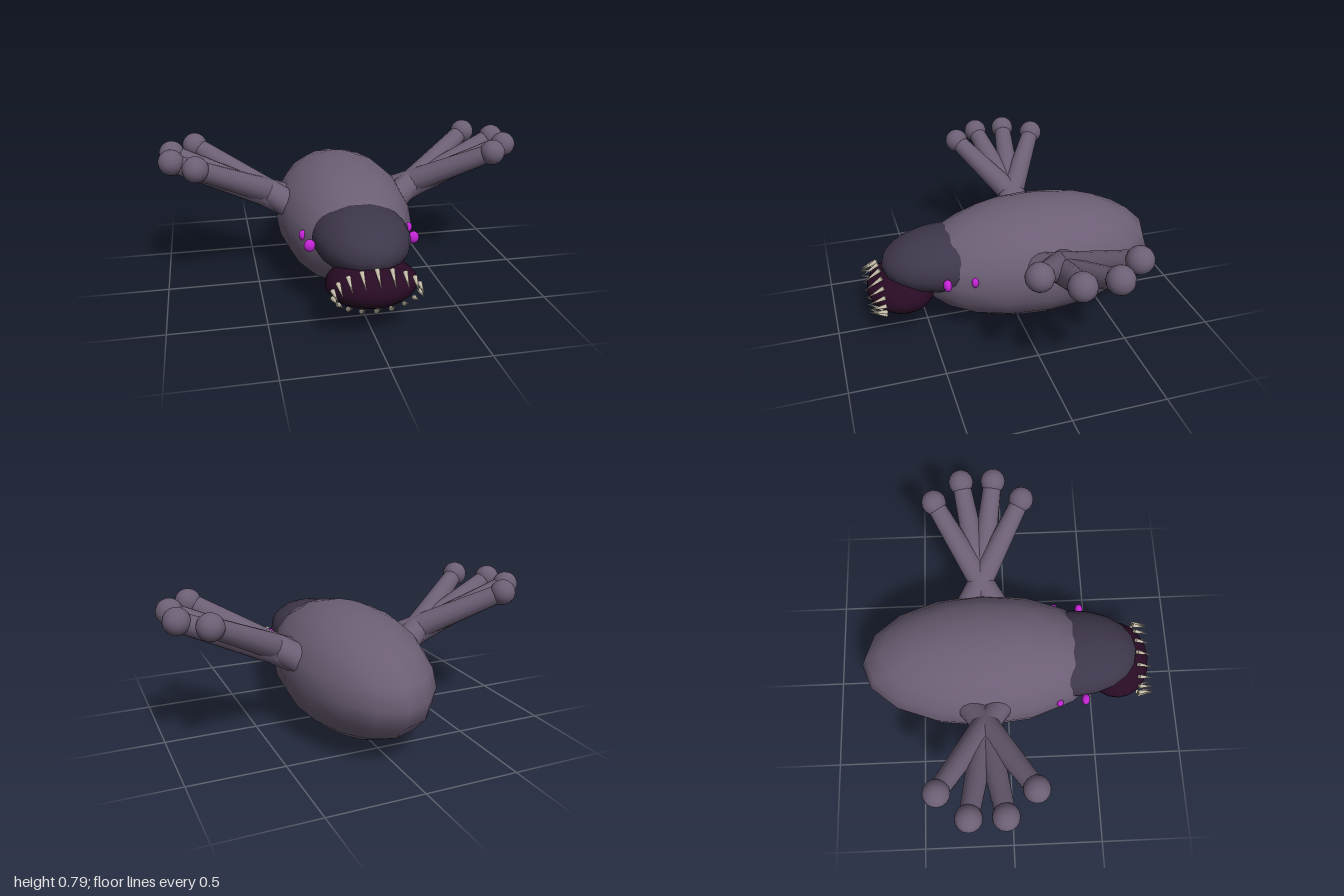
import * as THREE from 'three';

const mat = (name, color) => {
  const m = new THREE.MeshStandardMaterial({ color });
  m.name = name;
  return m;
};

export function createModel() {
  const model = new THREE.Group();
  model.name = 'creature';
  const skin = mat('mauve skin', 0x6c5f75);
  const hood = mat('dark hood', 0x3e364a);
  const maw = mat('maroon mouth', 0x280b24);
  const glow = mat('magenta eye', 0xc424d6);
  const bone = mat('bone tooth', 0xc8bfac);

  const add = (name, geometry, material, position) => {
    const mesh = new THREE.Mesh(geometry, material);
    mesh.name = name;
    mesh.position.set(...position);
    model.add(mesh);
    return mesh;
  };
  const ellipsoid = (name, material, position, radii, w = 16, h = 10) => {
    const mesh = add(name, new THREE.SphereGeometry(1, w, h), material, position);
    mesh.scale.set(...radii);
    return mesh;
  };
  // Tapered round bar from a to b
  const bar = (name, material, a, b, ra, rb, sides) => {
    const from = new THREE.Vector3(...a), to = new THREE.Vector3(...b);
    const dir = to.clone().sub(from);
    const mid = from.clone().add(to).multiplyScalar(0.5);
    const mesh = add(name, new THREE.CylinderGeometry(rb, ra, dir.length(), sides), material, mid.toArray());
    mesh.quaternion.setFromUnitVectors(new THREE.Vector3(0, 1, 0), dir.normalize());
    return mesh;
  };

  // Body, hooded head and mouth
  ellipsoid('body', skin, [0, 0.34, -0.13], [0.375, 0.335, 0.69]);
  ellipsoid('head', hood, [0, 0.4, 0.38], [0.25, 0.165, 0.35], 20, 14);
  ellipsoid('mouth', maw, [0, 0.262, 0.63], [0.23, 0.115, 0.188], 20, 14);

  // Ring of teeth closing forwards
  const count = 18;
  for (let i = 0; i < count; i++) {
    const t = (i / count) * Math.PI * 2;
    const s = Math.sin(t), c = Math.cos(t);
    bar('tooth', bone, [0.215 * s, 0.265 + 0.11 * c, 0.74], [0.208 * s, 0.265 + 0.05 * c, 0.828], 0.013, 0.001, 8);
  }

  for (const side of [1, -1]) {
    // Two eyes on each flank
    ellipsoid('frontEye', glow, [side * 0.27, 0.387, 0.425], [0.03, 0.033, 0.023], 12, 8);
    ellipsoid('rearEye', glow, [side * 0.285, 0.387, 0.282], [0.02, 0.028, 0.019], 12, 8);

    // Four crossing fingers with ball tips form each limb
    for (const [x, dz, rootZ, rootY] of [
      [0.805, 0.243, -0.1, 0.41], [0.93, 0.09, -0.03, 0.4],
      [0.93, -0.09, 0.03, 0.4], [0.805, -0.243, 0.1, 0.41],
    ]) {
      const tip = [side * x, 0.722, -0.13 + dz];
      bar('finger', skin, [side * 0.26, rootY, -0.13 + rootZ], tip, 0.078, 0.05, 14);
      ellipsoid('fingerTip', skin, tip, [0.069, 0.069, 0.069], 16, 12);
    }
  }
  return model;
}
